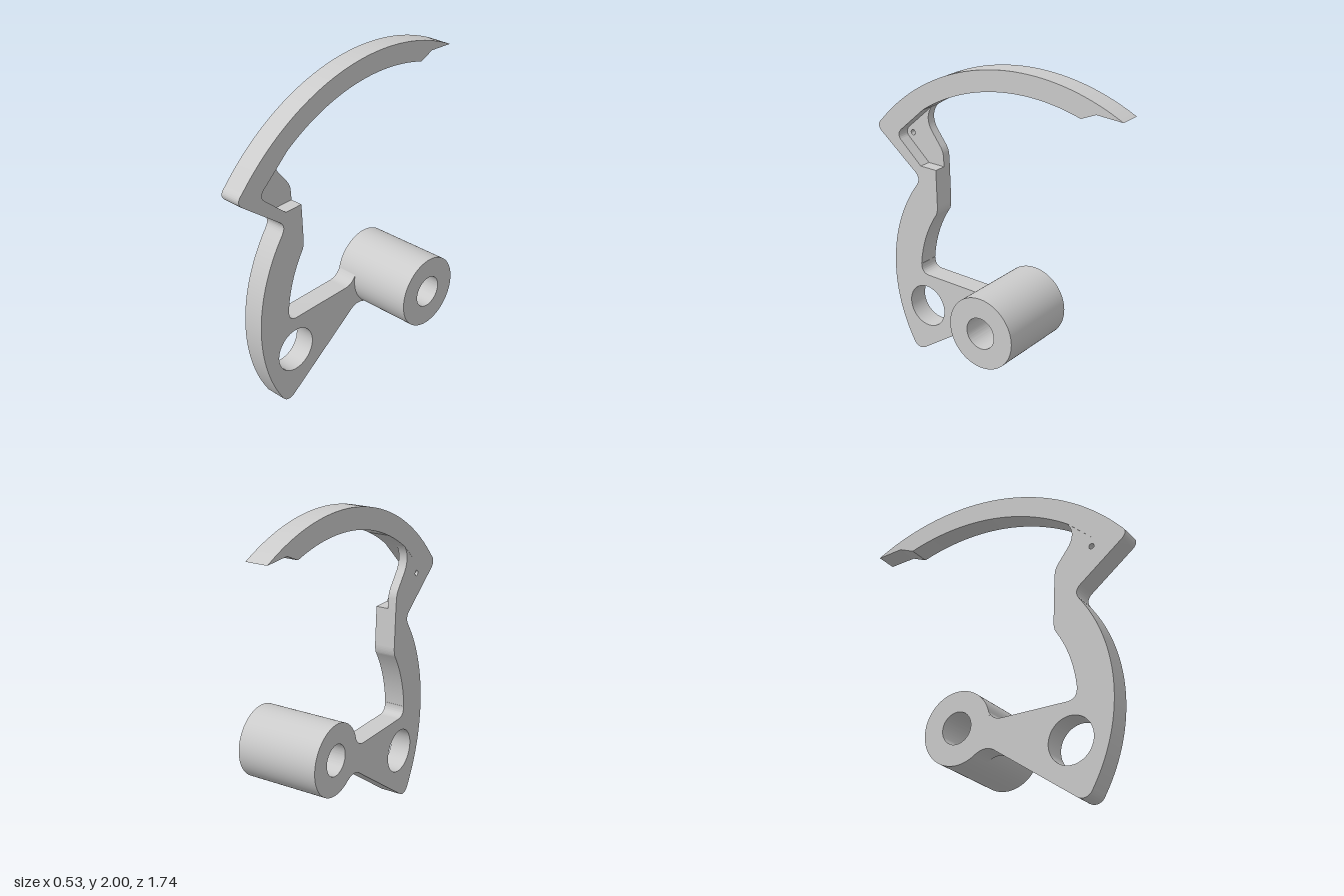
import * as THREE from 'three';
import { toCreasedNormals } from 'three/addons/utils/BufferGeometryUtils.js';

// Profiles are drawn in (u, y) with u = -z, then extruded along +x.
const CU = 0.23, CY = 0.555;            // pivot centre, shared by all large arcs
const X0 = -0.265, X1 = -0.132, X2 = 0.262;

const angle = (u, y) => Math.atan2(y - CY, u - CU);

function pivotArc(path, r, from, to, clockwise) {
  path.absarc(CU, CY, r, angle(...from), angle(...to), clockwise);
}

function circle(u, y, r) {
  return new THREE.Path().absarc(u, y, r, 0, Math.PI * 2, false);
}

function extrudeX(name, shape, x0, x1, curveSegments) {
  let geo = new THREE.ExtrudeGeometry(shape, { depth: x1 - x0, bevelEnabled: false, curveSegments });
  geo.rotateY(Math.PI / 2).translate(x0, 0, 0);
  geo = toCreasedNormals(geo, 0.45);
  const mesh = new THREE.Mesh(geo, new THREE.MeshStandardMaterial({ color: 0xcccccc }));
  mesh.name = name;
  return mesh;
}

// Hooked lever plate, with the recess cut right through
function leverShape() {
  const s = new THREE.Shape();
  s.moveTo(0.84, 1.803);
  // outer edge of the hook
  pivotArc(s, 1.445, [0.865, 1.854], [-0.853, 1.523], false);
  s.quadraticCurveTo(-0.9, 1.475, -0.85, 1.435);
  s.lineTo(-0.595, 1.238);
  s.quadraticCurveTo(-0.54, 1.2, -0.575, 1.15);
  // outer edge of the lower arm
  pivotArc(s, 1.0, [-0.575, 1.15], [-0.633, 0.045], false);
  s.bezierCurveTo(-0.61, 0.0, -0.565, -0.007, -0.53, 0.018);
  // web to the pivot
  s.lineTo(-0.024, 0.373);
  s.bezierCurveTo(0.015, 0.4, 0.06, 0.4, 0.11, 0.368);
  pivotArc(s, 0.222, [0.11, 0.368], [0.015, 0.605], true);
  s.quadraticCurveTo(-0.015, 0.553, -0.07, 0.553);
  s.lineTo(-0.485, 0.553);
  s.quadraticCurveTo(-0.55, 0.553, -0.548, 0.617);
  // inner edge of the lower arm
  pivotArc(s, 0.782, [-0.548, 0.617], [-0.425, 0.99], true);
  s.quadraticCurveTo(-0.41, 1.015, -0.412, 1.05);
  s.lineTo(-0.42, 1.28);
  // recess walls
  s.lineTo(-0.54, 1.28);
  s.lineTo(-0.695, 1.415);
  s.quadraticCurveTo(-0.727, 1.445, -0.695, 1.48);
  // inner edge of the hook and its notched tip
  pivotArc(s, 1.318, [-0.51, 1.64], [0.6, 1.82], true);
  s.lineTo(0.696, 1.862);
  s.closePath();
  s.holes.push(circle(-0.505, 0.331, 0.138));
  return s;
}

// Thin floor left at the bottom of the recess
function recessShape() {
  const s = new THREE.Shape();
  s.moveTo(-0.54, 1.28);
  s.lineTo(-0.42, 1.28);
  s.lineTo(-0.424, 1.345);
  s.quadraticCurveTo(-0.426, 1.38, -0.455, 1.415);
  s.lineTo(-0.51, 1.486);
  s.bezierCurveTo(-0.55, 1.54, -0.55, 1.595, -0.51, 1.645);
  s.lineTo(-0.695, 1.48);
  s.quadraticCurveTo(-0.727, 1.445, -0.695, 1.415);
  s.closePath();
  s.holes.push(circle(-0.663, 1.449, 0.017));
  return s;
}

// Hollow pivot boss
function bossShape() {
  const s = new THREE.Shape();
  s.absarc(CU, CY, 0.222, 0, Math.PI * 2, false);
  s.holes.push(circle(CU, CY, 0.097));
  return s;
}

export function createModel() {
  const model = new THREE.Group();
  model.name = 'hookedLever';
  model.add(
    extrudeX('leverPlate', leverShape(), X0, X1, 40),
    extrudeX('recessFloor', recessShape(), X0, X0 + 0.055, 16),
    extrudeX('pivotBoss', bossShape(), X0, X2, 64),
  );
  return model;
}
